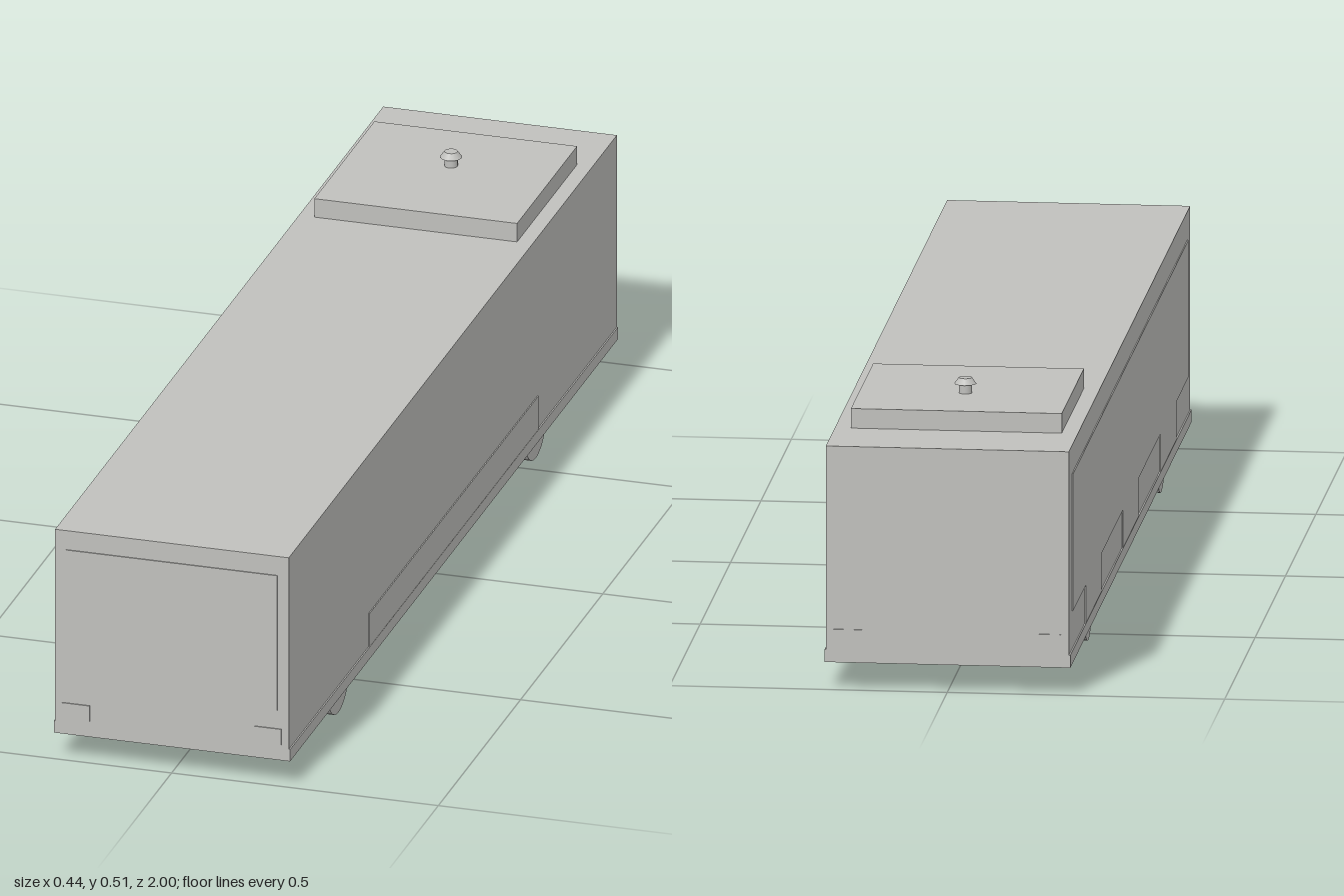
import * as THREE from 'three';

export function createModel() {
  const bus = new THREE.Group();
  bus.name = 'bus';
  const grey = new THREE.MeshStandardMaterial({ color: 0xc0c0bd });
  grey.name = 'light grey';

  const add = (name, geometry, x = 0, y = 0, z = 0) => {
    const mesh = new THREE.Mesh(geometry, grey);
    mesh.name = name;
    mesh.position.set(x, y, z);
    bus.add(mesh);
    return mesh;
  };
  // Box given by its lower and upper limits on each axis
  const box = (name, x0, x1, y0, y1, z0, z1) =>
    add(name, new THREE.BoxGeometry(x1 - x0, y1 - y0, z1 - z0),
      (x0 + x1) / 2, (y0 + y1) / 2, (z0 + z1) / 2);

  const END = 0.998, SIDE = 0.219, PLATE = 0.002;

  // Body and the slightly wider skirt below it
  box('body', -SIDE, SIDE, 0.052, 0.447, -END, END);
  box('skirt', -0.2215, 0.2215, 0.05, 0.073, -END, END);

  // Roof unit with its small vent
  box('roofUnit', -0.19, 0.19, 0.446, 0.483, -0.85, -0.485);
  add('ventStem', new THREE.CylinderGeometry(0.012, 0.012, 0.019, 16), 0, 0.4915, -0.7);
  add('ventCap', new THREE.CylinderGeometry(0.012, 0.02, 0.011, 12), 0, 0.5055, -0.7);

  // Windscreen, headlights and tail lights
  box('windscreen', -0.198, 0.198, 0.147, 0.41, END, END + PLATE);
  for (const s of [-1, 1]) {
    const inner = s * 0.154, outer = s * 0.205;
    const x0 = Math.min(inner, outer), x1 = Math.max(inner, outer);
    box('headlight', x0, x1, 0.08, 0.111, END, END + PLATE);
    box('tailLight', x0, x1, 0.08, 0.111, -END - PLATE, -END);
  }

  // Window band with three doors reaching down to the skirt, on the right side
  const glass = new THREE.Shape();
  glass.moveTo(-0.945, 0.395);
  glass.lineTo(-0.945, 0.143);
  for (const [z0, z1] of [[-0.737, -0.48], [-0.125, 0.137], [0.495, 0.751]]) {
    glass.lineTo(z0, 0.143);
    glass.lineTo(z0, 0.073);
    glass.lineTo(z1, 0.073);
    glass.lineTo(z1, 0.143);
  }
  glass.lineTo(0.95, 0.143);
  glass.lineTo(0.95, 0.395);
  const band = new THREE.ExtrudeGeometry(glass, { depth: PLATE, bevelEnabled: false });
  add('windowsAndDoors', band, -SIDE).rotation.y = -Math.PI / 2;

  // Long lower panel on the left side
  box('lowerPanel', SIDE, SIDE + PLATE, 0.073, 0.138, -0.515, 0.513);

  // Wheels, mostly hidden in the body
  const wheel = new THREE.CylinderGeometry(0.065, 0.065, 0.042, 32);
  wheel.rotateZ(Math.PI / 2);
  for (const z of [0.65, -0.55])
    for (const x of [-0.184, 0.184]) add('wheel', wheel, x, 0.065, z);

  return bus;
}
